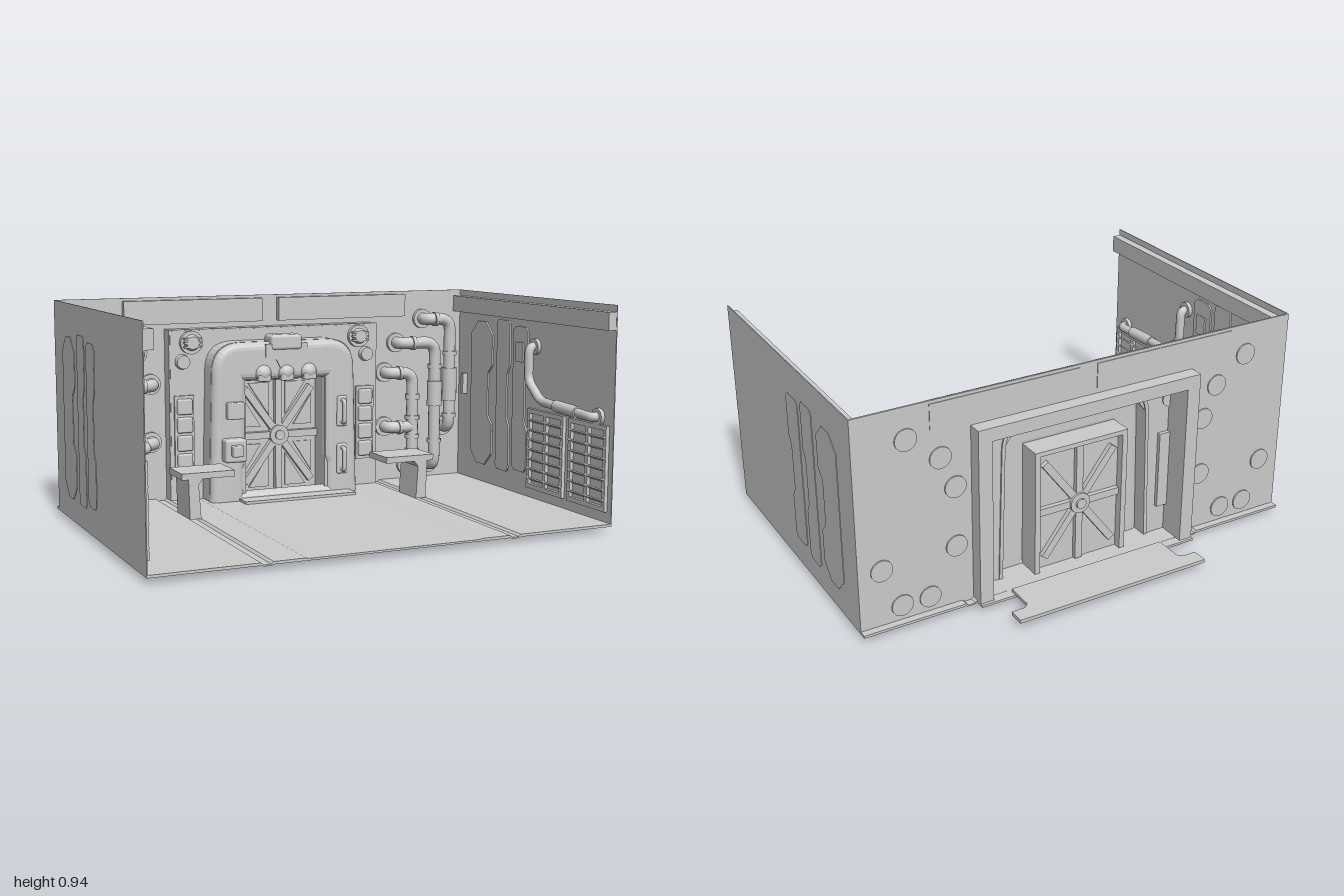
import * as THREE from 'three';
import { RoundedBoxGeometry } from 'three/addons/geometries/RoundedBoxGeometry.js';

const mat = new THREE.MeshStandardMaterial({ color: 0xcccccc, side: THREE.DoubleSide });

function add(parent, name, geo, x = 0, y = 0, z = 0) {
  const m = new THREE.Mesh(geo, mat);
  m.name = name;
  m.position.set(x, y, z);
  parent.add(m);
  return m;
}

// Box given by its min and max on each axis
function box(parent, name, x0, x1, y0, y1, z0, z1, round = 0) {
  const s = [x1 - x0, y1 - y0, z1 - z0];
  const geo = round ? new RoundedBoxGeometry(...s, 2, round) : new THREE.BoxGeometry(...s);
  return add(parent, name, geo, (x0 + x1) / 2, (y0 + y1) / 2, (z0 + z1) / 2);
}

function poly(points) {
  return new THREE.Shape(points.map(p => new THREE.Vector2(...p)));
}

function extrude(shape, depth, bevel = 0) {
  return new THREE.ExtrudeGeometry(shape, {
    depth, curveSegments: 8, bevelEnabled: bevel > 0,
    bevelSize: bevel, bevelThickness: bevel, bevelSegments: 4,
  });
}

// Cylinder whose axis runs along z
function disc(parent, name, r, depth, x, y, z, r2 = r) {
  const g = new THREE.CylinderGeometry(r2, r, depth, 24).rotateX(Math.PI / 2);
  return add(parent, name, g, x, y, z);
}

// Tube through corner points with rounded bends
function pipe(parent, name, pts, r, bend = 0.05) {
  const p = pts.map(a => new THREE.Vector3(...a));
  const path = new THREE.CurvePath();
  let from = p[0];
  for (let i = 1; i < p.length - 1; i++) {
    const near = (q) => p[i].clone().add(q.clone().sub(p[i]).setLength(Math.min(bend, q.distanceTo(p[i]) * 0.48)));
    const a = near(p[i - 1]), b = near(p[i + 1]);
    path.add(new THREE.LineCurve3(from, a));
    path.add(new THREE.QuadraticBezierCurve3(a, p[i], b));
    from = b;
  }
  path.add(new THREE.LineCurve3(from, p[p.length - 1]));
  add(parent, name, new THREE.TubeGeometry(path, 72, r, 14), 0, 0, 0);
}

// Arch outline: tapered sides and rounded top corners
function arch(w, wTop, top, r, Type = THREE.Shape) {
  const s = new Type();
  s.moveTo(-w, 0.015);
  s.lineTo(-wTop, top - r);
  s.quadraticCurveTo(-wTop, top, -wTop + r, top);
  s.lineTo(wTop - r, top);
  s.quadraticCurveTo(wTop, top, wTop, top - r);
  s.lineTo(w, 0.015);
  s.closePath();
  return s;
}

// Pipes, lamps, bench and side wall of the -x half
function buildHalf() {
  const g = new THREE.Group();
  const zp = -0.43, zw = -0.5;
  const runs = [
    [[-0.78, 0.785], [-0.9, 0.785], [-0.9, 0.26]],
    [[-0.64, 0.675], [-0.82, 0.675], [-0.82, 0.08]],
    [[-0.58, 0.535], [-0.7, 0.535], [-0.7, 0.08]],
    [[-0.58, 0.275], [-0.7, 0.275]],
  ];
  runs.forEach((run, i) => {
    const last = run[run.length - 1];
    const pts = [[...run[0], zw], ...run.map(p => [...p, zp])];
    if (i < 3) pts.push([...last, zw]);
    pipe(g, 'wallPipe', pts, 0.028, 0.06);
    const ends = i < 3 ? [run[0], last] : [run[0]];
    for (const [x, y] of ends) disc(g, 'pipeFlange', 0.046, 0.03, x, y, -0.497);
  });
  // Collars and sleeves on the vertical pipes
  for (const [x, y, h, r] of [[-0.9, 0.47, 0.16, 0.036], [-0.82, 0.43, 0.12, 0.036], [-0.9, 0.62, 0.02, 0.034],
    [-0.82, 0.56, 0.02, 0.034], [-0.82, 0.2, 0.02, 0.034], [-0.9, 0.32, 0.02, 0.034],
    [-0.7, 0.42, 0.025, 0.035], [-0.7, 0.32, 0.02, 0.035], [-0.7, 0.23, 0.02, 0.035], [-0.7, 0.16, 0.02, 0.035]])
    add(g, 'pipeCollar', new THREE.CylinderGeometry(r, r, h, 16), x, y, zp);
  for (const [x, y] of [[-0.82, 0.785], [-0.7, 0.675], [-0.63, 0.535], [-0.63, 0.275]])
    add(g, 'pipeCollar', new THREE.CylinderGeometry(0.034, 0.034, 0.018, 16).rotateZ(Math.PI / 2), x, y, zp);

  // Round lamps and button strip beside the door
  disc(g, 'lampRing', 0.052, 0.03, -0.41, 0.72, -0.43);
  disc(g, 'lampLens', 0.04, 0.03, -0.41, 0.72, -0.41, 0.028);
  for (const dy of [-0.018, 0, 0.018]) box(g, 'lampBar', -0.45, -0.37, 0.716 + dy, 0.724 + dy, -0.42, -0.395);
  disc(g, 'smallLamp', 0.036, 0.04, -0.45, 0.635, -0.43, 0.03);
  box(g, 'buttonStrip', -0.49, -0.4, 0.14, 0.485, -0.46, -0.425);
  for (let i = 0; i < 4; i++) box(g, 'button', -0.48, -0.41, 0.155 + i * 0.082, 0.225 + i * 0.082, -0.44, -0.41, 0.008);

  // Bench with a slanted outer leg
  box(g, 'benchTop', -0.595, -0.36, 0.185, 0.212, -0.2, -0.03);
  const leg = poly([[-0.56, 0.015], [-0.51, 0.015], [-0.52, 0.16], [-0.5, 0.187], [-0.565, 0.187]]);
  add(g, 'benchLeg', extrude(leg, 0.165), 0, 0, -0.198);

  // Side wall with its ledge
  box(g, 'sideWall', -0.998, -0.994, 0.005, 0.918, -0.502, 0.758);
  box(g, 'wallLedge', -0.996, -0.957, 0.815, 0.89, -0.5, 0.756);

  // Raised wall panels with notched outlines
  const panel = (name, z0, z1, y0, y1, c) => {
    const d = 0.2 * (z1 - z0), m = (y0 + y1) / 2;
    const s = poly([[z0 + c, y0], [z1 - c, y0], [z1, y0 + c], [z1, m - 0.14], [z1 - d, m - 0.1], [z1 - d, m + 0.1],
      [z1, m + 0.14], [z1, y1 - c], [z1 - c, y1], [z0 + c, y1], [z0, y1 - c], [z0, y0 + c]]);
    add(g, name, extrude(s, 0.014).rotateY(-Math.PI / 2), -0.986, 0, 0);
  };
  panel('wallPanel', 0.0, 0.12, 0.12, 0.78, 0.02);
  panel('wallPanel', -0.14, -0.03, 0.1, 0.8, 0.015);
  panel('wallPanel', -0.37, -0.18, 0.1, 0.78, 0.06);
  box(g, 'panelWindow', -0.99, -0.978, 0.62, 0.71, 0.03, 0.09);
  box(g, 'panelHandle', -0.99, -0.965, 0.42, 0.52, -0.43, -0.41);

  // Louvred vents
  for (const [z0, z1] of [[0.46, 0.73], [0.14, 0.42]]) {
    for (const y of [0.06, 0.4]) box(g, 'ventFrame', -0.995, -0.978, y, y + 0.02, z0, z1);
    for (const z of [z0, (z0 + z1) / 2 - 0.01, z1 - 0.02]) box(g, 'ventFrame', -0.995, -0.978, 0.06, 0.42, z, z + 0.02);
    for (let i = 0; i < 7; i++)
      box(g, 'ventSlat', -0.993, -0.975, 0.1 + i * 0.044, 0.106 + i * 0.044, z0, z1).rotation.z = 0.6;
  }

  // Bent pipe on the side wall
  const px = -0.955;
  pipe(g, 'sidePipe', [[-0.995, 0.7, 0.18], [px, 0.7, 0.18], [px, 0.55, 0.18], [px, 0.47, 0.28],
    [px, 0.45, 0.66], [-0.995, 0.45, 0.66]], 0.02, 0.035);
  for (const [y, z] of [[0.7, 0.18], [0.45, 0.66]])
    add(g, 'sidePipeFlange', new THREE.CylinderGeometry(0.036, 0.036, 0.02, 20).rotateZ(Math.PI / 2), -0.987, y, z);
  add(g, 'sidePipeSleeve', new THREE.CylinderGeometry(0.026, 0.026, 0.16, 16).rotateX(Math.PI / 2 + 0.05), px, 0.46, 0.48);
  return g;
}

function buildDoor() {
  const g = new THREE.Group();
  // Bulged hollow surround: side skin, rounded front, inner jamb
  const skin = arch(0.36, 0.345, 0.72, 0.13);
  skin.holes.push(arch(0.345, 0.33, 0.705, 0.12, THREE.Path));
  add(g, 'surroundSkin', extrude(skin, 0.1), 0, 0, -0.45);
  const face = arch(0.325, 0.31, 0.685, 0.1);
  face.holes.push(poly([[-0.235, 0.016], [0.235, 0.016], [0.235, 0.16], [0.225, 0.19], [0.225, 0.58], [-0.225, 0.58], [-0.225, 0.19], [-0.235, 0.16]]));
  add(g, 'surroundFace', extrude(face, 0.004, 0.034), 0, 0, -0.354);
  for (const s of [-1, 1]) box(g, 'doorJamb', s * 0.205 - 0.012, s * 0.205 + 0.012, 0.015, 0.565, -0.49, -0.33);
  box(g, 'doorLintel', -0.217, 0.217, 0.55, 0.57, -0.49, -0.33);

  // Door leaf with hub, spokes and corner plates
  const cy = 0.285, zf = -0.42;
  box(g, 'doorLeaf', -0.195, 0.195, 0.015, 0.552, -0.455, -0.435);
  for (const zs of [zf, -0.462]) {
    for (let i = 0; i < 8; i++) {
      const a = i * Math.PI / 4;
      const len = i % 2 ? 0.27 : (i % 4 ? 0.265 : 0.19);
      const ang = i % 2 ? Math.atan2(Math.sign(Math.sin(a)) * 0.24, Math.sign(Math.cos(a)) * 0.18) : a;
      const spoke = add(g, 'doorSpoke', new THREE.BoxGeometry(len, 0.032, 0.026), Math.cos(ang) * len / 2, cy + Math.sin(ang) * len / 2, zs);
      spoke.rotation.z = ang;
    }
    disc(g, 'doorHub', 0.045, 0.045, 0, cy, zs);
    disc(g, 'hubCap', 0.022, 0.064, 0, cy, zs);
  }
  for (const sx of [-1, 1]) for (const sy of [-1, 1]) {
    const corner = poly([[sx * 0.04, cy + sy * 0.09], [sx * 0.04, cy + sy * 0.24], [sx * 0.14, cy + sy * 0.24]]);
    const side = poly([[sx * 0.08, cy + sy * 0.04], [sx * 0.17, cy + sy * 0.04], [sx * 0.17, cy + sy * 0.18]]);
    add(g, 'doorPlate', extrude(corner, 0.012), 0, 0, -0.44);
    add(g, 'doorPlate', extrude(side, 0.012), 0, 0, -0.44);
  }

  // Overhead lamp with bracket, and three bosses
  box(g, 'overheadLamp', -0.075, 0.075, 0.68, 0.75, -0.4, -0.305, 0.015);
  const bracket = poly([[-0.1, 0.71], [0.1, 0.71], [0.1, 0.65], [0.05, 0.64], [0.03, 0.6], [-0.03, 0.6], [-0.05, 0.64], [-0.1, 0.65]]);
  add(g, 'lampBracket', extrude(bracket, 0.05), 0, 0, -0.36);
  for (const x of [-0.11, 0, 0.11]) {
    add(g, 'boss', new THREE.SphereGeometry(0.04, 20, 12), x, 0.58, -0.33);
    box(g, 'bossBase', x - 0.03, x + 0.03, 0.545, 0.575, -0.34, -0.295, 0.006);
  }

  // Control boxes, grip handles and door step
  box(g, 'controlBox', -0.29, -0.21, 0.385, 0.46, -0.33, -0.285, 0.006);
  box(g, 'keypad', -0.31, -0.21, 0.195, 0.3, -0.33, -0.265, 0.012);
  box(g, 'keypadScreen', -0.285, -0.235, 0.225, 0.275, -0.28, -0.235, 0.006);
  for (const y of [0.17, 0.39]) {
    const x = 0.275, z = -0.32;
    box(g, 'handlePlate', x - 0.026, x + 0.026, y - 0.07, y + 0.07, z - 0.01, z + 0.012, 0.008);
    pipe(g, 'gripHandle', [[x, y - 0.05, z], [x, y - 0.05, z + 0.035], [x, y + 0.05, z + 0.035], [x, y + 0.05, z]], 0.01, 0.015);
  }
  box(g, 'doorStep', -0.23, 0.31, 0.008, 0.024, -0.32, -0.235);
  return g;
}

export function createModel() {
  const model = new THREE.Group();
  model.name = 'room';

  // Floor slab with two channels
  const floor = poly([[-0.998, 0.004], [-0.56, 0.004], [-0.55, 0], [-0.52, 0], [-0.51, 0.004], [0.51, 0.004], [0.52, 0], [0.55, 0], [0.56, 0.004],
    [0.998, 0.004], [0.998, 0.015], [0.56, 0.015], [0.55, 0.006], [0.52, 0.006], [0.51, 0.015], [0.38, 0.015],
    [0.37, 0.012], [-0.37, 0.012], [-0.38, 0.015], [-0.51, 0.015], [-0.52, 0.006], [-0.55, 0.006], [-0.56, 0.015], [-0.998, 0.015]]);
  add(model, 'floor', extrude(floor, 1.295), 0, 0, -0.537);
  box(model, 'floorBackEdge', -0.51, 0.51, 0.004, 0.014, -0.58, -0.53);
  box(model, 'floorHatch', -0.25, 0.25, 0.001, 0.006, -0.45, -0.2);

  // Outer threshold plate, flared at its end
  const sill = poly([[-0.36, 0.55], [0.36, 0.55], [0.36, 0.67], [0.38, 0.69], [0.44, 0.69], [0.44, 0.758], [-0.44, 0.758],
    [-0.44, 0.69], [-0.38, 0.69], [-0.36, 0.67]]);
  add(model, 'threshold', extrude(sill, 0.015).rotateX(-Math.PI / 2), 0, 0.012, 0);

  // Back wall around the doorway, with upper panels
  const wall = poly([[-0.998, 0.005], [-0.5, 0.005], [-0.5, 0.76], [0.5, 0.76], [0.5, 0.005], [0.998, 0.005], [0.998, 0.918], [-0.998, 0.918]]);
  add(model, 'backWall', extrude(wall, 0.008), 0, 0, -0.506);
  for (const x of [-0.7, 0.03]) box(model, 'upperPanel', x, x + 0.65, 0.8, 0.905, -0.509, -0.472);

  // Deep doorway frame and its front sheet
  const frame = poly([[-0.51, 0.01], [-0.45, 0.01], [-0.45, 0.72], [0.45, 0.72], [0.45, 0.01], [0.51, 0.01], [0.51, 0.777], [-0.51, 0.777]]);
  add(model, 'doorwayFrame', extrude(frame, 0.13), 0, 0, -0.567);
  const sheet = poly([[-0.505, 0.01], [-0.35, 0.01], [-0.335, 0.6], [-0.25, 0.71], [0.25, 0.71], [0.335, 0.6], [0.35, 0.01], [0.505, 0.01], [0.505, 0.772], [-0.505, 0.772]]);
  add(model, 'doorwaySheet', extrude(sheet, 0.008), 0, 0, -0.443);

  const door = buildDoor();
  door.name = 'door';
  model.add(door);

  // Matching halves
  const right = buildHalf(), left = buildHalf();
  right.name = 'rightSide';
  left.name = 'leftSide';
  left.scale.x = -1;
  model.add(right, left);
  return model;
}
